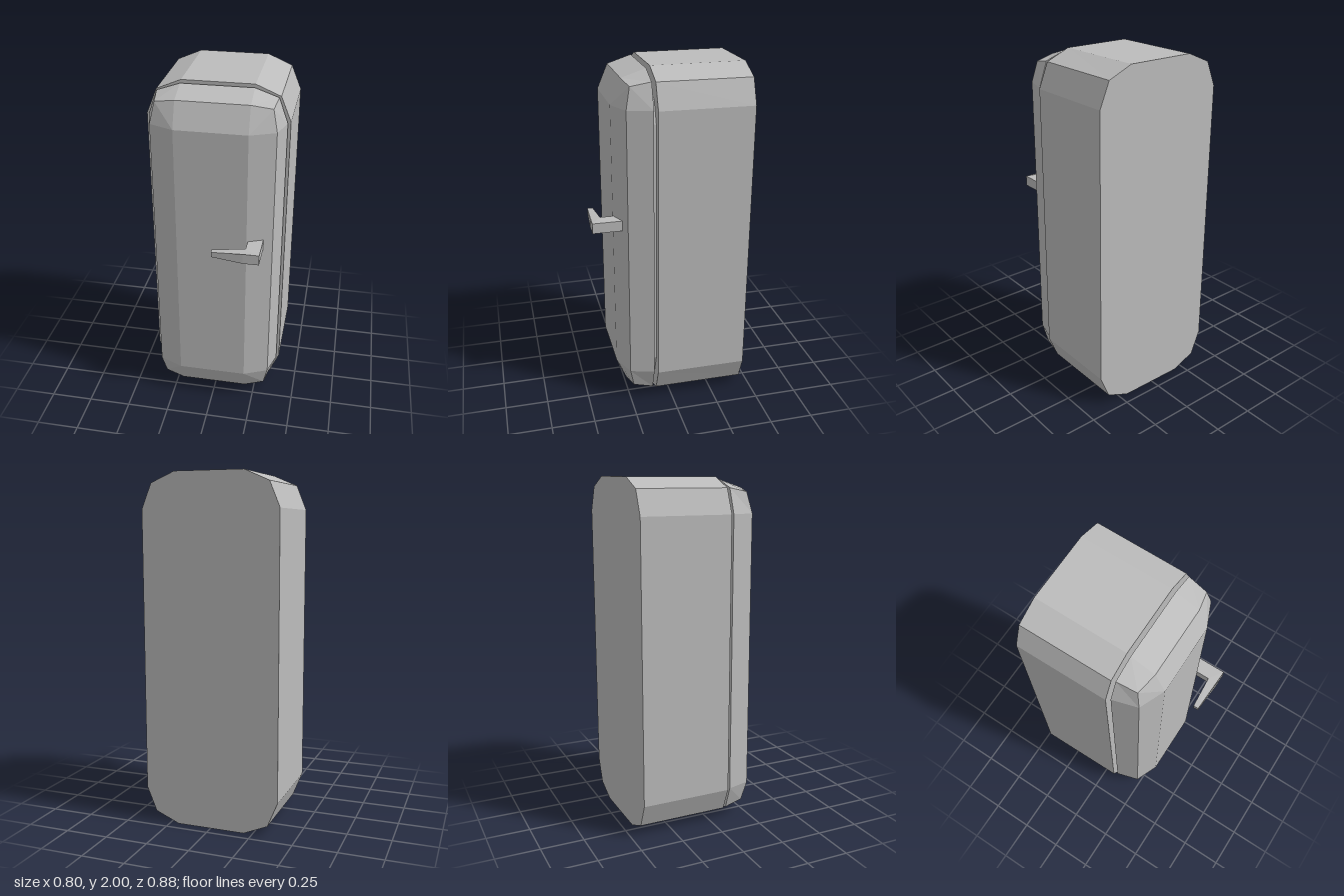
import * as THREE from 'three';

// Closed rounded-rectangle outline from three [x, y, z] corner points, mirrored about x = 0 and y = 1
function ring(corner) {
  const points = [];
  for (const [sx, sy] of [[1, 1], [-1, 1], [-1, -1], [1, -1]]) {
    const order = sx * sy > 0 ? corner : [...corner].reverse();
    for (const [x, y, z] of order) points.push([sx * x, 1 + sy * y, z]);
  }
  return points;
}

// Joins rings from back to front and caps both ends
function loft(rings) {
  const positions = [];
  const same = (p, q) => p.every((v, i) => v === q[i]);
  const tri = (a, b, c) => {
    if (!same(a, b) && !same(b, c) && !same(a, c)) positions.push(...a, ...b, ...c);
  };
  const n = rings[0].length;
  for (let k = 0; k < rings.length - 1; k++) {
    const back = rings[k], front = rings[k + 1];
    for (let i = 0; i < n; i++) {
      const j = (i + 1) % n;
      tri(back[i], back[j], front[j]);
      tri(back[i], front[j], front[i]);
    }
  }
  const first = rings[0], last = rings[rings.length - 1];
  for (let i = 1; i < n - 1; i++) {
    tri(first[0], first[i + 1], first[i]);
    tri(last[0], last[i], last[i + 1]);
  }
  const geometry = new THREE.BufferGeometry();
  geometry.setAttribute('position', new THREE.Float32BufferAttribute(positions, 3));
  geometry.computeVertexNormals();
  return geometry;
}

export function createModel() {
  const model = new THREE.Group();
  model.name = 'refrigerator';
  const enamel = new THREE.MeshStandardMaterial({ color: 0xbcbcbc });
  enamel.name = 'grey enamel';

  const add = (name, geometry) => {
    const mesh = new THREE.Mesh(geometry, enamel);
    mesh.name = name;
    model.add(mesh);
  };

  // Cabinet, narrowing very slightly to the front
  add('cabinet', loft([
    ring([[0.398, 0.8, -0.44], [0.34, 0.94, -0.44], [0.2, 1, -0.44]]),
    ring([[0.395, 0.8, 0.092], [0.338, 0.94, 0.092], [0.2, 0.998, 0.092]]),
  ]));

  // Recessed seal between cabinet and door
  add('doorSeal', loft([0.08, 0.125].map((z) =>
    ring([[0.347, 0.72, z], [0.3, 0.84, z], [0.18, 0.885, z]]))));

  // Door with tapered rim and wide bevel around a flat panel
  add('door', loft([
    ring([[0.38, 0.8, 0.112], [0.33, 0.94, 0.112], [0.2, 0.985, 0.112]]),
    ring([[0.34, 0.8, 0.25], [0.315, 0.918, 0.226], [0.2, 0.94, 0.25]]),
    ring([[0.2, 0.8, 0.31], [0.2, 0.8, 0.31], [0.2, 0.8, 0.31]]),
  ]));

  // L-shaped handle, drawn in plan and thinned towards its tip
  const plan = new THREE.Shape([
    [0.207, -0.27], [0.29, -0.27], [0.29, -0.44], [0.2, -0.44],
    [0.022, -0.428], [0.022, -0.397], [0.207, -0.384],
  ].map(([x, y]) => new THREE.Vector2(x, y)));
  const handle = new THREE.ExtrudeGeometry(plan, { depth: 0.06, bevelEnabled: false });
  handle.translate(0, 0, -0.03).rotateX(-Math.PI / 2);
  const position = handle.attributes.position;
  for (let i = 0; i < position.count; i++) {
    if (position.getX(i) < 0.1) position.setY(i, position.getY(i) * 0.5);
  }
  handle.translate(0, 1.135, 0);
  handle.computeVertexNormals();
  add('handle', handle);

  return model;
}
